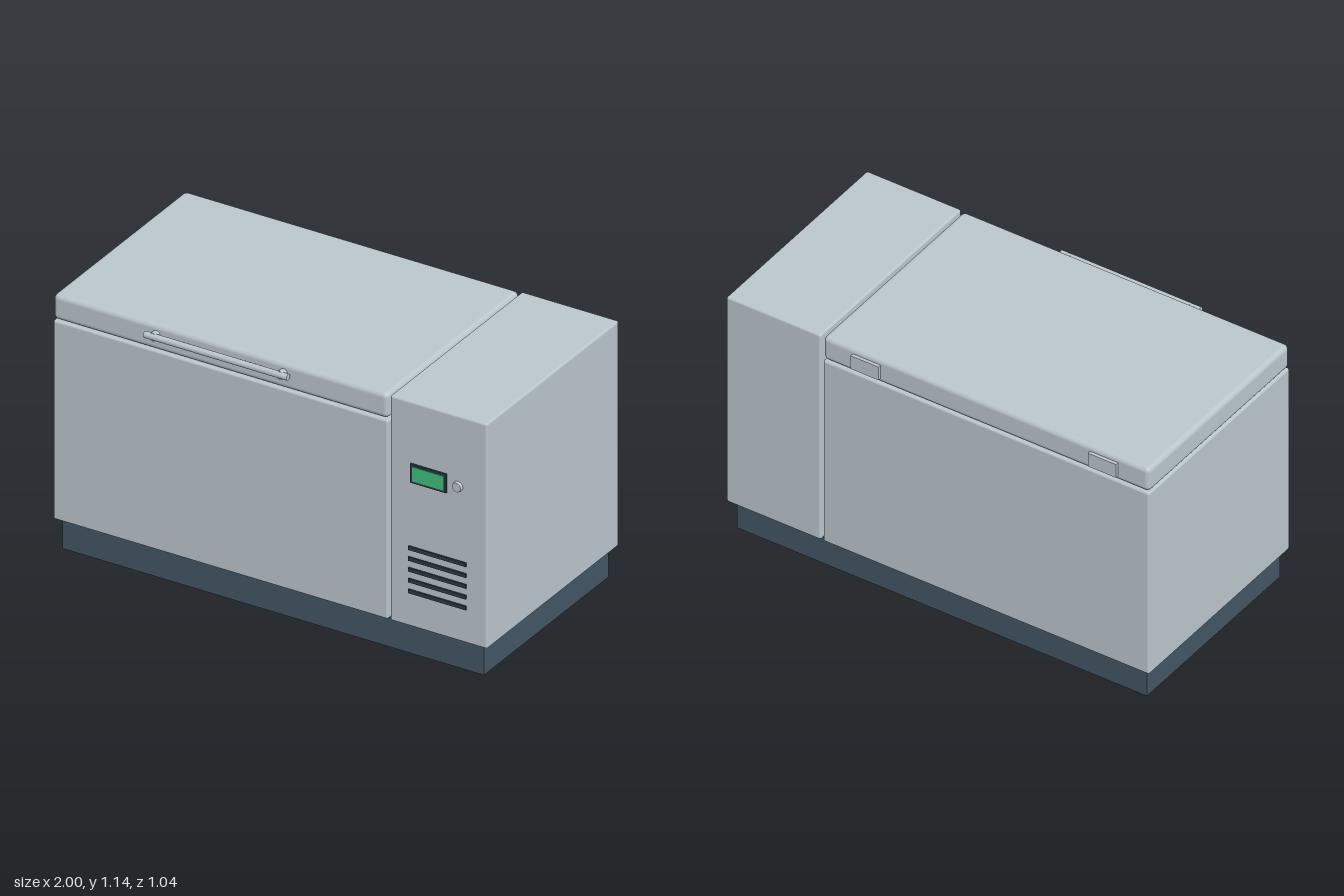
import * as THREE from 'three';
import { RoundedBoxGeometry } from 'three/addons/geometries/RoundedBoxGeometry.js';

export function createModel() {
  const group = new THREE.Group();
  group.name = 'chestFreezer';
  const material = (name, color) => {
    const m = new THREE.MeshStandardMaterial({ color });
    m.name = name;
    return m;
  };
  const steel = material('brushed steel', 0xbac5cc);
  const slate = material('slate base', 0x425564);
  const dark = material('dark trim', 0x2b3947);
  const green = material('green display', 0x3fbd7d);

  const add = (name, geometry, mat, x, y, z) => {
    const mesh = new THREE.Mesh(geometry, mat);
    mesh.name = name;
    mesh.position.set(x, y, z);
    group.add(mesh);
    return mesh;
  };
  // Box given by its lower and upper corners, with optional rounded edges
  const box = (name, mat, [x0, y0, z0], [x1, y1, z1], r = 0) => {
    const size = [x1 - x0, y1 - y0, z1 - z0];
    const geometry = r
      ? new RoundedBoxGeometry(...size, 3, r)
      : new THREE.BoxGeometry(...size);
    return add(name, geometry, mat, (x0 + x1) / 2, (y0 + y1) / 2, (z0 + z1) / 2);
  };

  // Plinth, chest, lid and the machine cabinet beside them
  const back = -0.505, front = 0.48;
  box('base', slate, [-0.97, 0, -0.475], [0.97, 0.13, 0.455]);
  box('chest', steel, [-1, 0.135, back], [0.543, 1.028, front], 0.01);
  box('lid', steel, [-1, 1.032, back], [0.543, 1.145, front], 0.022);
  box('cabinet', steel, [0.553, 0.135, back], [1, 1.145, front], 0.01);

  // Lid handle: a bar on two posts
  const bar = add('handleBar', new THREE.CylinderGeometry(0.014, 0.014, 0.66, 20), steel, -0.23, 1.105, 0.506);
  bar.rotation.z = Math.PI / 2;
  for (const x of [-0.523, 0.063]) {
    const post = add('handlePost', new THREE.CylinderGeometry(0.018, 0.018, 0.036, 16), steel, x, 1.103, 0.49);
    post.rotation.x = Math.PI / 2;
  }

  // Hinge plates on the back of the lid
  for (const x of [-0.788, 0.335]) {
    box('hinge', steel, [x - 0.066, 1.055, -0.52], [x + 0.066, 1.12, back + 0.005]);
  }

  // Control panel: framed display and knob
  box('displayFrame', dark, [0.65, 0.785, front - 0.002], [0.815, 0.87, 0.487]);
  box('display', green, [0.66, 0.795, 0.486], [0.805, 0.86, 0.49]);
  const knob = add('knob', new THREE.CylinderGeometry(0.02, 0.023, 0.014, 24), steel, 0.866, 0.828, 0.486);
  knob.rotation.x = Math.PI / 2;

  // Ventilation slots
  for (let i = 0; i < 5; i++) {
    const y = 0.295 + i * 0.0485;
    box('ventSlot', dark, [0.64, y - 0.0085, front - 0.002], [0.906, y + 0.0085, 0.487]);
  }

  return group;
}
